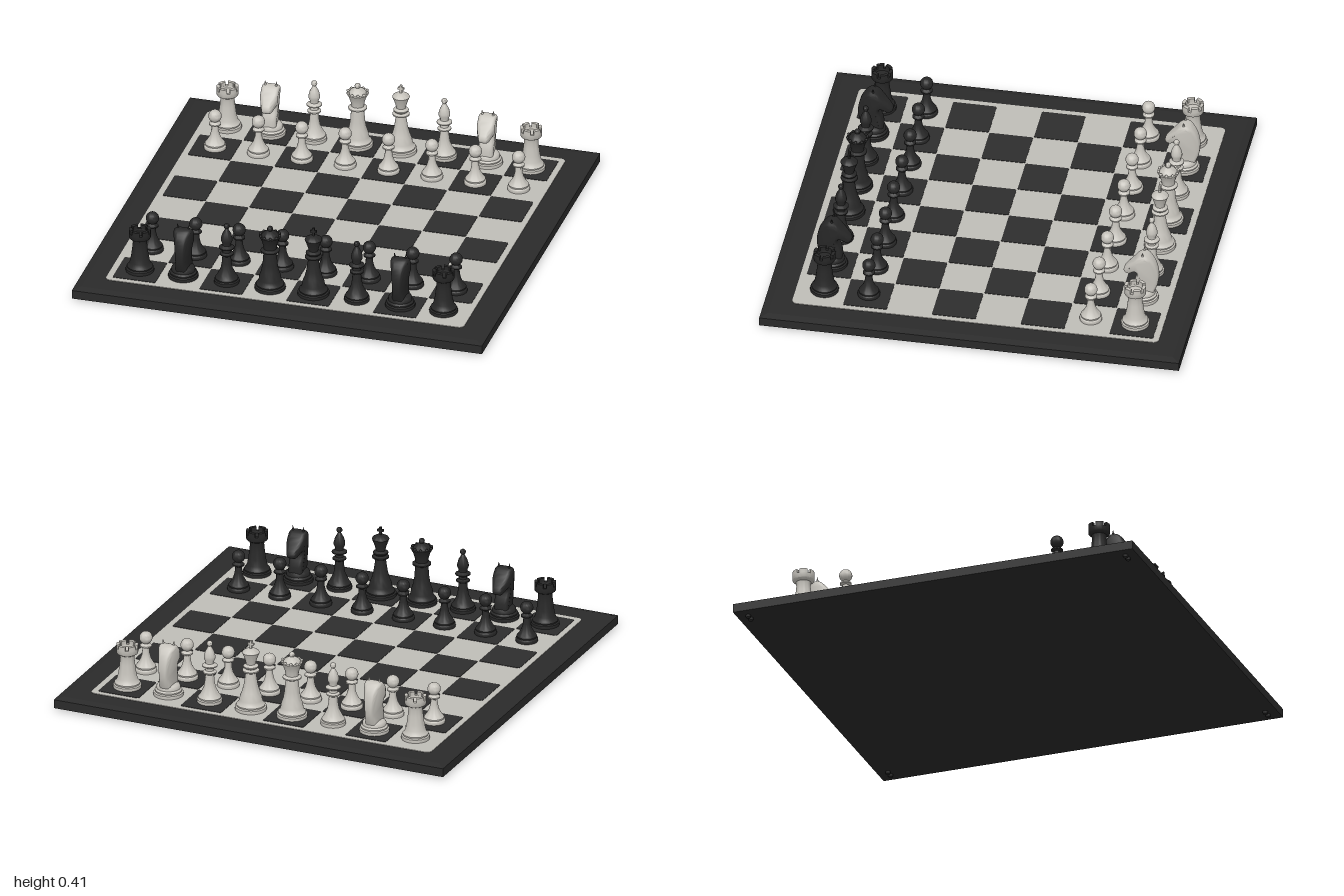
import * as THREE from 'three';
import { toCreasedNormals } from 'three/addons/utils/BufferGeometryUtils.js';

const mat = (name, color) => new THREE.MeshStandardMaterial({ name, color });
const TOP = 0.066, PITCH = 0.2105, MID = -0.008;

function add(parent, name, geometry, material, x = 0, y = 0, z = 0) {
  const mesh = new THREE.Mesh(geometry, material);
  mesh.name = name;
  mesh.position.set(x, y, z);
  parent.add(mesh);
  return mesh;
}

// Flat plate with rounded corners, lying on the board
function plate(size, radius, thickness) {
  const h = size / 2, c = h - radius, s = new THREE.Shape();
  s.absarc(c, c, radius, 0, Math.PI / 2);
  s.absarc(-c, c, radius, Math.PI / 2, Math.PI);
  s.absarc(-c, -c, radius, Math.PI, Math.PI * 1.5);
  s.absarc(c, -c, radius, Math.PI * 1.5, Math.PI * 2);
  return new THREE.ExtrudeGeometry(s, { depth: thickness, bevelEnabled: false, curveSegments: 5 }).rotateX(-Math.PI / 2);
}

// Turned profile from [radius, height] pairs
const turned = (pts) => toCreasedNormals(
  new THREE.LatheGeometry(pts.map(([r, y]) => new THREE.Vector2(r, y)), 28), 0.8);

// Stepped foot shared by the pieces, scaled by its radius
const foot = (r) => [[0, 0], [r, 0], [r * 1.02, 0.008], [r, 0.016], [r * 0.9, 0.02], [r * 0.92, 0.027], [r * 0.8, 0.035]];

// Points of a ball standing on a stem
function ball(r, cy, from = -1.1) {
  const out = [];
  for (let i = 0; i <= 9; i++) {
    const a = from + (Math.PI / 2 - from) * i / 9;
    out.push([Math.max(0, r * Math.cos(a)), cy + r * Math.sin(a)]);
  }
  return out;
}

// Knight's head and neck: side outline, narrowed by height
function knightHead() {
  const outline = new THREE.SplineCurve([
    [-0.045, 0.03], [-0.068, 0.09], [-0.073, 0.15], [-0.058, 0.21], [-0.025, 0.25], [0.012, 0.252],
    [0.045, 0.22], [0.088, 0.172], [0.088, 0.148], [0.066, 0.142], [0.036, 0.162], [0.026, 0.14],
    [0.044, 0.09], [0.048, 0.03],
  ].map(([f, y]) => new THREE.Vector2(f, y)));
  const g = new THREE.ExtrudeGeometry(new THREE.Shape(outline.getPoints(44)), {
    depth: 0.044, bevelSize: 0.014, bevelOffset: -0.014, bevelThickness: 0.02, bevelSegments: 4,
  });
  g.translate(0, 0, -0.022);
  g.rotateY(-Math.PI / 2);
  const p = g.attributes.position;
  for (let i = 0; i < p.count; i++) {
    const y = p.getY(i), z = p.getZ(i);
    const muzzle = 1 - 0.45 * THREE.MathUtils.smoothstep(z, 0.03, 0.09);
    const mane = 1 - 0.45 * THREE.MathUtils.smoothstep(-z, 0.01, 0.075);
    const neck = 0.82 + 0.2 * THREE.MathUtils.smoothstep(y, 0.08, 0.2);
    p.setX(i, p.getX(i) * muzzle * mane * neck);
  }
  return toCreasedNormals(g, 0.9);
}

// One battlement of the rook's crown
function battlement() {
  const s = new THREE.Shape();
  s.absarc(0, 0, 0.051, 0, 0.75);
  s.absarc(0, 0, 0.035, 0.75, 0, true);
  return new THREE.ExtrudeGeometry(s, { depth: 0.02, bevelEnabled: false, curveSegments: 6 }).rotateX(-Math.PI / 2);
}

function makeShapes() {
  return {
    pawn: turned([...foot(0.052), [0.034, 0.046], [0.024, 0.065], [0.018, 0.09], [0.016, 0.118],
      [0.028, 0.124], [0.028, 0.13], [0.016, 0.138], ...ball(0.031, 0.168)]),
    rook: turned([...foot(0.066), [0.047, 0.05], [0.041, 0.08], [0.036, 0.12], [0.033, 0.15],
      [0.036, 0.166], [0.049, 0.174], [0.051, 0.178], [0.051, 0.2], [0.035, 0.2], [0.033, 0.19], [0, 0.19]]),
    bishop: turned([...foot(0.059), [0.04, 0.05], [0.028, 0.075], [0.023, 0.105], [0.02, 0.14],
      [0.032, 0.147], [0.032, 0.153], [0.02, 0.16], [0.019, 0.172], [0.036, 0.181], [0.036, 0.186], [0.02, 0.196],
      [0.02, 0.205], [0.027, 0.22], [0.027, 0.232], [0.021, 0.255], [0.009, 0.277], [0.007, 0.282], ...ball(0.014, 0.294)]),
    queen: turned([...foot(0.072), [0.053, 0.05], [0.05, 0.068], [0.041, 0.095], [0.035, 0.13], [0.032, 0.17],
      [0.03, 0.188], [0.044, 0.195], [0.044, 0.201], [0.03, 0.209], [0.033, 0.23], [0.041, 0.255], [0.052, 0.275],
      [0.05, 0.281], [0.042, 0.276], [0.034, 0.289], [0.016, 0.3], [0.01, 0.303], ...ball(0.014, 0.312)]),
    king: turned([...foot(0.074), [0.054, 0.05], [0.051, 0.068], [0.042, 0.09], [0.033, 0.125], [0.027, 0.165],
      [0.025, 0.185], [0.04, 0.193], [0.04, 0.199], [0.026, 0.206], [0.036, 0.215], [0.036, 0.22], [0.022, 0.229],
      [0.027, 0.25], [0.036, 0.275], [0.041, 0.287], [0.037, 0.294], [0.02, 0.304], [0.008, 0.308], [0, 0.309]]),
    knight: turned([...foot(0.07), [0.056, 0.045], [0.05, 0.055], [0.035, 0.06], [0, 0.06]]),
    knightHead: knightHead(),
    ear: new THREE.ConeGeometry(0.015, 0.06, 10),
    battlement: battlement(),
    crownPoint: new THREE.SphereGeometry(0.007, 8, 6),
    crossPost: new THREE.BoxGeometry(0.011, 0.042, 0.011),
    crossBar: new THREE.BoxGeometry(0.03, 0.011, 0.011),
  };
}

function makePiece(kind, shapes, material) {
  const g = new THREE.Group();
  g.name = kind;
  add(g, kind + 'Body', shapes[kind], material);
  if (kind === 'rook') {
    for (let i = 0; i < 6; i++) add(g, 'battlement', shapes.battlement, material, 0, 0.199, 0).rotation.y = i * Math.PI / 3;
  }
  if (kind === 'queen') {
    for (let i = 0; i < 10; i++) {
      const a = i * Math.PI / 5;
      add(g, 'crownPoint', shapes.crownPoint, material, 0.047 * Math.cos(a), 0.28, 0.047 * Math.sin(a));
    }
  }
  if (kind === 'king') {
    add(g, 'crossPost', shapes.crossPost, material, 0, 0.325);
    add(g, 'crossBar', shapes.crossBar, material, 0, 0.329);
  }
  if (kind === 'knight') {
    add(g, 'knightHead', shapes.knightHead, material);
    for (const s of [-1, 1]) add(g, 'ear', shapes.ear, material, s * 0.025, 0.247, 0).rotation.z = -s * 0.12;
  }
  return g;
}

export function createModel() {
  const model = new THREE.Group();
  model.name = 'chessSet';
  const frameMat = mat('frame black', 0x2a2a2a);
  const lightMat = mat('light squares', 0xbfbdb7);
  const darkMat = mat('dark squares', 0x2d2d2d);
  const whiteMat = mat('white pieces', 0xc6c3bc);
  const blackMat = mat('black pieces', 0x272727);

  // Board frame with a sloping top edge
  const board = new THREE.Group();
  board.name = 'board';
  model.add(board);
  const slab = (topHalf, bottomHalf, h) => new THREE.CylinderGeometry(
    topHalf * Math.SQRT2, bottomHalf * Math.SQRT2, h, 4).rotateY(Math.PI / 4).toNonIndexed();
  for (const [name, top, bottom, y0, y1] of [['frameBase', 0.995, 0.995, 0.012, 0.054], ['frameTop', 0.96, 0.995, 0.054, 0.063]]) {
    const geo = slab(top, bottom, y1 - y0);
    geo.computeVertexNormals();
    add(board, name, geo, frameMat, -0.005, (y0 + y1) / 2, -0.005);
  }

  // Small paired feet under the corners
  const footGeo = new THREE.CylinderGeometry(0.013, 0.011, 0.014, 12);
  for (const x of [-1, 1]) for (const z of [-1, 1]) for (const d of [0, 0.035]) {
    add(board, 'foot', footGeo, frameMat, x * (0.94 - d) - 0.005, 0.007, z * 0.94 - 0.005);
  }

  // Playing field and its dark squares
  add(board, 'playingField', plate(1.738, 0.025, 0.003), lightMat, MID, 0.0625, MID);
  const squareGeo = plate(0.207, 0.008, 0.003);
  const at = (i) => MID + (i - 3.5) * PITCH;
  for (let i = 0; i < 8; i++) for (let j = 0; j < 8; j++) {
    if ((i + j) % 2) add(board, 'darkSquare', squareGeo, darkMat, at(i), 0.0645, at(j));
  }

  // The two armies face each other
  const shapes = makeShapes();
  const order = ['rook', 'knight', 'bishop', 'queen', 'king', 'bishop', 'knight', 'rook'];
  for (const [name, material, home, pawns, turn] of [['whiteArmy', whiteMat, 0, 1, 0], ['blackArmy', blackMat, 7, 6, Math.PI]]) {
    const army = new THREE.Group();
    army.name = name;
    model.add(army);
    order.forEach((kind, i) => {
      for (const [k, row] of [[kind, home], ['pawn', pawns]]) {
        const piece = makePiece(k, shapes, material);
        piece.position.set(at(i), TOP, at(row));
        piece.rotation.y = turn;
        army.add(piece);
      }
    });
  }
  return model;
}
